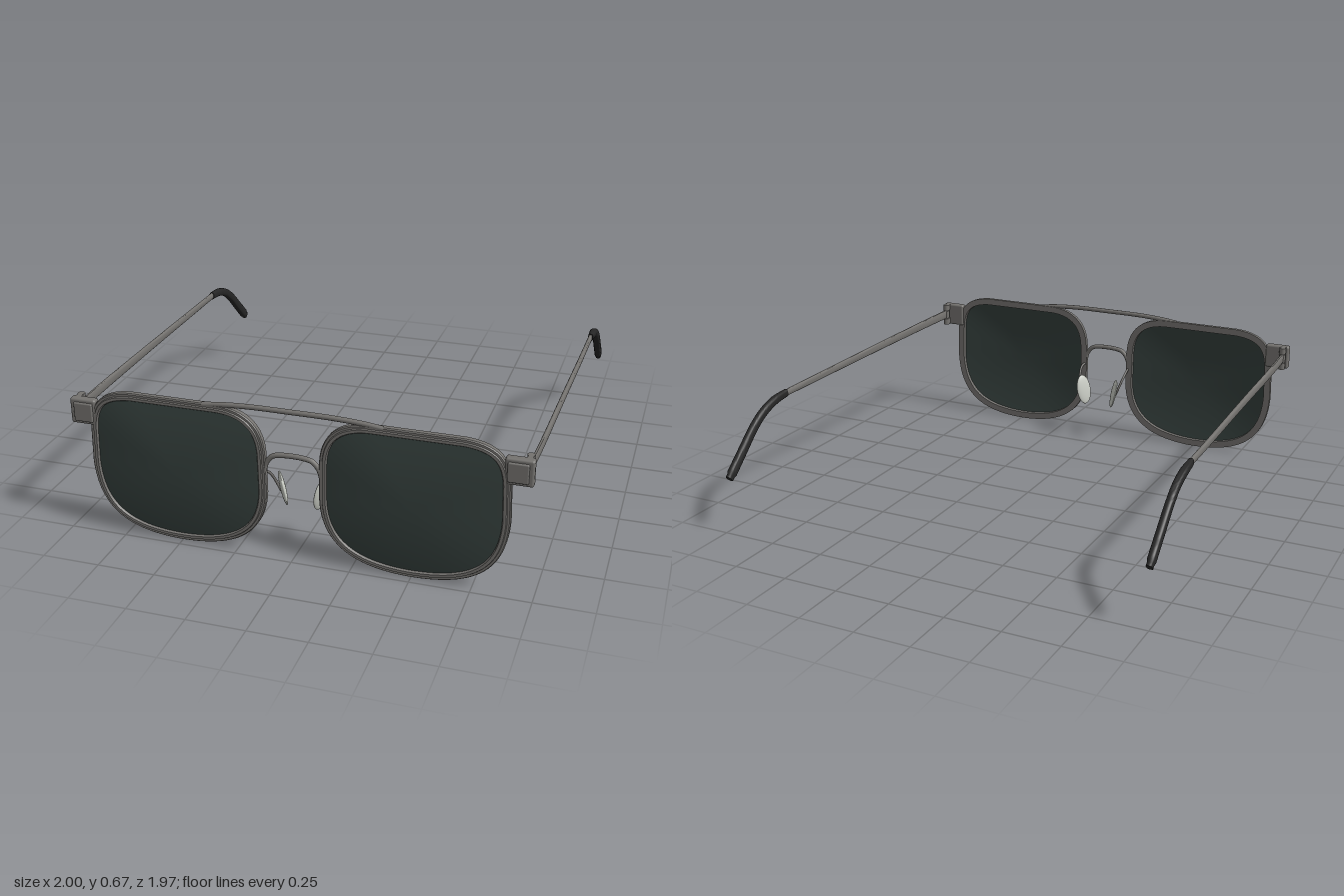
import * as THREE from 'three';
import { toCreasedNormals } from 'three/addons/utils/BufferGeometryUtils.js';
import { RoundedBoxGeometry } from 'three/addons/geometries/RoundedBoxGeometry.js';

const V = (x, y, z) => new THREE.Vector3(x, y, z);
const metal = new THREE.MeshStandardMaterial({ color: 0x74726f });
const glass = new THREE.MeshStandardMaterial({ color: 0x35403d, side: THREE.DoubleSide });
const rubber = new THREE.MeshStandardMaterial({ color: 0x262626 });
const silicone = new THREE.MeshStandardMaterial({ color: 0xc9ccc4 });

// Skin a list of equal-length rings; either join the last ring to the first or cap the ends.
function loft(rings, { loop = false, caps = false, crease = 0.6 } = {}) {
  const n = rings[0].length, pos = [], index = [];
  rings.forEach(r => r.forEach(p => pos.push(p.x, p.y, p.z)));
  const count = loop ? rings.length : rings.length - 1;
  for (let i = 0; i < count; i++) for (let j = 0; j < n; j++) {
    const k = (j + 1) % n, a = i * n, b = ((i + 1) % rings.length) * n;
    index.push(a + j, a + k, b + j, a + k, b + k, b + j);
  }
  if (caps) [0, rings.length - 1].forEach((r, end) => {
    const c = rings[r].reduce((s, p) => s.add(p), V(0, 0, 0)).divideScalar(n);
    const ci = pos.length / 3;
    pos.push(c.x, c.y, c.z);
    for (let j = 0; j < n; j++) {
      const k = (j + 1) % n;
      index.push(ci, r * n + (end ? j : k), r * n + (end ? k : j));
    }
  });
  const g = new THREE.BufferGeometry();
  g.setAttribute('position', new THREE.Float32BufferAttribute(pos, 3));
  g.setIndex(index);
  return toCreasedNormals(g, crease);
}

// Bar with a rounded section whose half width and half height vary along the path.
function bar(points, steps, halfSize) {
  const curve = new THREE.CatmullRomCurve3(points), rings = [];
  const soft = v => Math.sign(v) * Math.abs(v) ** 0.7;
  for (let i = 0; i <= steps; i++) {
    const t = i / steps, p = curve.getPointAt(t), [w, h] = halfSize(t);
    const tan = curve.getTangentAt(t);
    const up = tan.clone().cross(V(1, 0, 0)).normalize();
    const side = up.clone().cross(tan).normalize();
    rings.push(Array.from({ length: 20 }, (_, j) => {
      const a = j / 20 * Math.PI * 2;
      return p.clone().addScaledVector(side, w * soft(Math.cos(a))).addScaledVector(up, h * soft(Math.sin(a)));
    }));
  }
  return loft(rings, { caps: true });
}

const wire = (points, radius) =>
  new THREE.TubeGeometry(new THREE.CatmullRomCurve3(points), 40, radius, 10);

// Mirror a geometry across x = 0, keeping its faces outward.
function mirrored(geometry) {
  const g = geometry.index ? geometry.toNonIndexed() : geometry.clone();
  g.scale(-1, 1, 1);
  for (const name of ['position', 'normal']) {
    const a = g.attributes[name];
    for (let i = 0; i < a.count; i += 3) {
      const p = V().fromBufferAttribute(a, i + 1), q = V().fromBufferAttribute(a, i + 2);
      a.setXYZ(i + 1, q.x, q.y, q.z);
      a.setXYZ(i + 2, p.x, p.y, p.z);
    }
  }
  return g;
}

// Outer outline of the left rim, counterclockwise from the front.
function rimOutline() {
  const s = new THREE.Path();
  s.moveTo(0.892, 0.33);
  s.lineTo(0.888, 0.48);
  s.bezierCurveTo(0.883, 0.6, 0.83, 0.652, 0.7, 0.66);
  s.lineTo(0.32, 0.66);
  s.bezierCurveTo(0.18, 0.655, 0.118, 0.58, 0.115, 0.46);
  s.lineTo(0.113, 0.3);
  s.bezierCurveTo(0.12, 0.1, 0.25, 0.008, 0.5, 0.006);
  s.bezierCurveTo(0.76, 0.008, 0.885, 0.1, 0.892, 0.33);
  return s.getSpacedPoints(120).slice(0, -1);
}

export function createModel() {
  const model = new THREE.Group();
  const add = (name, geometry, material) => {
    const m = new THREE.Mesh(geometry, material);
    m.name = name;
    model.add(m);
  };
  const pair = (name, geometry, material) => {
    add(name + 'Left', geometry, material);
    add(name + 'Right', mirrored(geometry), material);
  };

  // Rim: stepped section (inset, z) swept round the outline
  const outline = rimOutline(), n = outline.length;
  const section = [[0.032, 0.94], [0.032, 0.965], [0.028, 0.971], [0.016, 0.971],
    [0.013, 0.965], [0.004, 0.965], [0, 0.96], [0, 0.94]];
  pair('rim', loft(outline.map((p, i) => {
    const t = outline[(i + 1) % n].clone().sub(outline[(i + n - 1) % n]).normalize();
    return section.map(([d, z]) => V(p.x - t.y * d, p.y + t.x * d, z));
  }), { loop: true }), metal);

  // Lens: shallow dome filling the rim
  const lensRings = [];
  for (let i = 0; i <= 14; i++) {
    const s = 0.965 * (1 - i / 14) + 0.0005;
    lensRings.push(outline.map(p =>
      V(0.5 + (p.x - 0.5) * s, 0.335 + (p.y - 0.335) * s, 0.955 + 0.032 * (1 - s * s))));
  }
  pair('lens', loft(lensRings), glass);

  // Brow bar and nose bridge
  add('browBar', wire([V(-0.38, 0.652, 0.955), V(-0.3, 0.662, 0.955), V(-0.18, 0.669, 0.955),
    V(0, 0.67, 0.955), V(0.18, 0.669, 0.955), V(0.3, 0.662, 0.955), V(0.38, 0.652, 0.955)], 0.011), metal);
  add('bridge', wire([V(-0.125, 0.385, 0.953), V(-0.112, 0.43, 0.953), V(-0.085, 0.462, 0.953),
    V(-0.045, 0.472, 0.953), V(0.045, 0.472, 0.953), V(0.085, 0.462, 0.953),
    V(0.112, 0.43, 0.953), V(0.125, 0.385, 0.953)], 0.011), metal);

  // Nose pads on curved wires
  pair('padArm', wire([V(0.122, 0.372, 0.95), V(0.126, 0.366, 0.915), V(0.122, 0.338, 0.88),
    V(0.11, 0.295, 0.857), V(0.092, 0.25, 0.849)], 0.006), metal);
  const pad = new THREE.SphereGeometry(1, 28, 18);
  pad.scale(0.012, 0.078, 0.043).rotateY(-0.5).rotateZ(-0.2).translate(0.085, 0.26, 0.845);
  pair('nosePad', pad, silicone);

  // End pieces with a raised square on the front
  const block = (w, h, d, r, x, y, z) => new RoundedBoxGeometry(w, h, d, 2, r).translate(x, y, z);
  pair('endPiece', block(0.115, 0.114, 0.038, 0.01, 0.916, 0.55, 0.949), metal);
  pair('endPiecePlate', block(0.084, 0.084, 0.02, 0.006, 0.912, 0.55, 0.967), metal);

  // Hinges: three knuckles, a pin, and leaves joining them to the end piece
  for (const [name, y, h] of [['lower', 0.514, 0.032], ['middle', 0.553, 0.04], ['upper', 0.591, 0.03]]) {
    pair(name + 'HingeKnuckle', new THREE.CylinderGeometry(0.016, 0.016, h, 20).translate(0.949, y, 0.909), metal);
    if (name !== 'middle') pair(name + 'HingeLeaf', block(0.024, h, 0.034, 0.003, 0.949, y, 0.924), metal);
  }
  pair('hingePin', new THREE.CylinderGeometry(0.007, 0.007, 0.1, 12).translate(0.949, 0.553, 0.909), metal);

  // Temples, tapering to the rear
  pair('temple', bar([V(0.949, 0.554, 0.91), V(0.957, 0.55, 0.7), V(0.967, 0.541, 0.2),
    V(0.976, 0.53, -0.25), V(0.981, 0.523, -0.56)], 24,
  t => [0.009, 0.023 - 0.008 * t]), metal);

  // Temple tips, bending down behind the ear
  pair('templeTip', bar([V(0.981, 0.524, -0.53), V(0.982, 0.513, -0.62), V(0.982, 0.485, -0.7),
    V(0.983, 0.44, -0.77), V(0.983, 0.345, -0.875), V(0.983, 0.256, -0.971)], 36,
  t => {
    const end = t > 0.97 ? 0.8 : 1;
    return [(0.012 + 0.005 * Math.min(1, t * 6)) * end, (0.018 + 0.006 * t) * end];
  }), rubber);

  return model;
}
